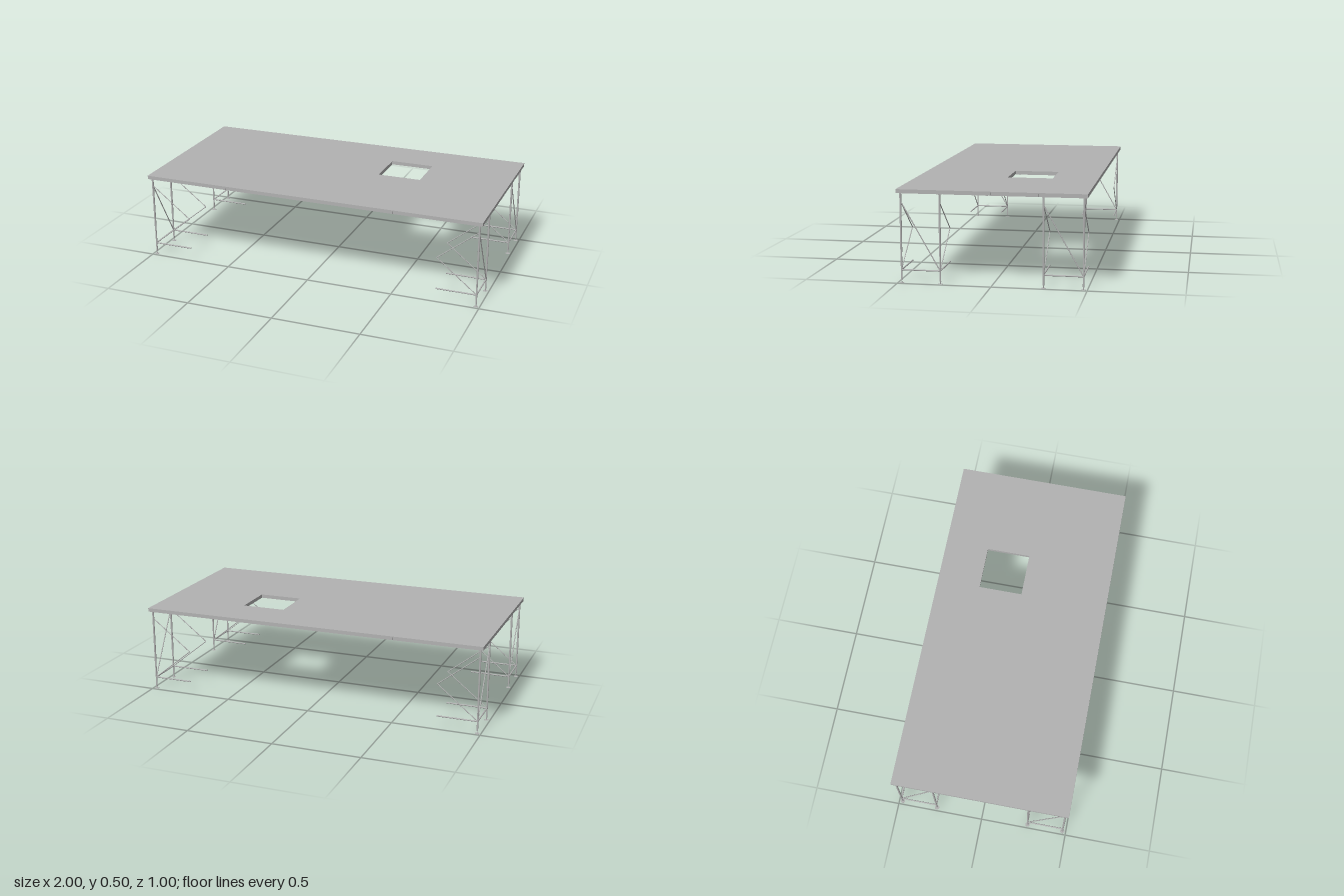
import * as THREE from 'three';

const steel = new THREE.MeshStandardMaterial({ color: 0xb2b2b2 });
steel.name = 'grey';

function add(parent, name, geometry, x = 0, y = 0, z = 0) {
  const mesh = new THREE.Mesh(geometry, steel);
  mesh.name = name;
  mesh.position.set(x, y, z);
  parent.add(mesh);
  return mesh;
}

// Round tube between two points
function rod(parent, name, a, b, radius) {
  const from = new THREE.Vector3(...a), to = new THREE.Vector3(...b);
  const dir = to.clone().sub(from);
  const mesh = add(parent, name, new THREE.CylinderGeometry(radius, radius, dir.length(), 12));
  mesh.position.copy(from).add(to).multiplyScalar(0.5);
  mesh.quaternion.setFromUnitVectors(new THREE.Vector3(0, 1, 0), dir.normalize());
}

const TOP = 0.5, BOARD = 0.005, FRAME_BOTTOM = 0.479, RAIL = 0.009;

// Deck panel: board, edge frame, cross bars, corner gussets and leg sockets
function deckPanel(w, d) {
  const panel = new THREE.Group();
  panel.name = 'deckPanel';
  const h = TOP - BOARD - FRAME_BOTTOM, y = FRAME_BOTTOM + h / 2;
  add(panel, 'board', new THREE.BoxGeometry(w, BOARD, d), 0, TOP - BOARD / 2, 0);
  for (const s of [-1, 1]) {
    add(panel, 'longRail', new THREE.BoxGeometry(w - 0.002, h, RAIL), 0, y, s * (d / 2 - 0.001 - RAIL / 2));
    add(panel, 'endRail', new THREE.BoxGeometry(RAIL, h, d - 0.002), s * (w / 2 - 0.001 - RAIL / 2), y, 0);
  }
  const bars = Math.round(w / 0.125) - 1;
  for (let i = 1; i <= bars; i++) {
    add(panel, 'crossBar', new THREE.BoxGeometry(0.01, 0.009, d - 0.02),
      -w / 2 + (i * w) / (bars + 1), TOP - BOARD - 0.0045, 0);
  }
  const corner = new THREE.Shape([[0, 0], [0.045, 0], [0.045, 0.008], [0.008, 0.045], [0, 0.045]]
    .map(([px, py]) => new THREE.Vector2(px, py)));
  const gusset = new THREE.ExtrudeGeometry(corner, { depth: 0.006, bevelEnabled: false });
  gusset.rotateX(Math.PI / 2);
  const corners = [[-1, -1, 0], [-1, 1, 1], [1, 1, 2], [1, -1, 3]];
  for (const [sx, sz, turn] of corners) {
    const g = add(panel, 'cornerGusset', gusset, sx * (w / 2 - 0.002), 0.488, sz * (d / 2 - 0.002));
    g.rotation.y = turn * Math.PI / 2;
    add(panel, 'legSocket', new THREE.CylinderGeometry(0.009, 0.009, 0.018, 16),
      sx * (w / 2 - 0.022), 0.485, sz * (d / 2 - 0.022));
  }
  return panel;
}

// Telescopic leg with foot, floor strut and two-part brace reaching inwards
function leg(x, z) {
  const group = new THREE.Group();
  group.name = 'leg';
  const inner = Math.sign(x) * 0.75;
  rod(group, 'upperTube', [x, 0.165, z], [x, 0.482, z], 0.0055);
  rod(group, 'lowerTube', [x, 0.015, z], [x, 0.17, z], 0.0045);
  rod(group, 'footSpindle', [x, 0.001, z], [x, 0.016, z], 0.002);
  add(group, 'footPlate', new THREE.CylinderGeometry(0.013, 0.013, 0.001, 16), x, 0.0005, z);
  rod(group, 'floorStrut', [x, 0.07, z], [inner, 0.07, z], 0.004);
  rod(group, 'upperBrace', [x, 0.435, z], [inner, 0.255, z], 0.0025);
  rod(group, 'lowerBrace', [inner, 0.255, z], [x, 0.07, z], 0.0025);
  return group;
}

export function createModel() {
  const model = new THREE.Group();
  model.name = 'stage';

  // Four by four deck, with one panel halved to leave a hatch
  for (let c = 0; c < 4; c++) {
    for (let r = 0; r < 4; r++) {
      const hatch = c === 2 && r === 1;
      const panel = deckPanel(hatch ? 0.25 : 0.5, 0.25);
      panel.position.set(hatch ? 0.125 : -0.75 + c * 0.5, 0, -0.375 + r * 0.25);
      model.add(panel);
    }
  }

  // Leg pairs under the four corner panels
  for (const x of [-0.98, 0.98]) {
    for (const [front, back] of [[0.48, 0.272], [-0.272, -0.48]]) {
      const frame = new THREE.Group();
      frame.name = 'legFrame';
      frame.add(leg(x, front), leg(x, back));
      rod(frame, 'rung', [x, 0.07, front], [x, 0.07, back], 0.004);
      rod(frame, 'endBrace', [x, 0.435, front], [x, 0.07, back], 0.003);
      model.add(frame);
    }
  }
  return model;
}
